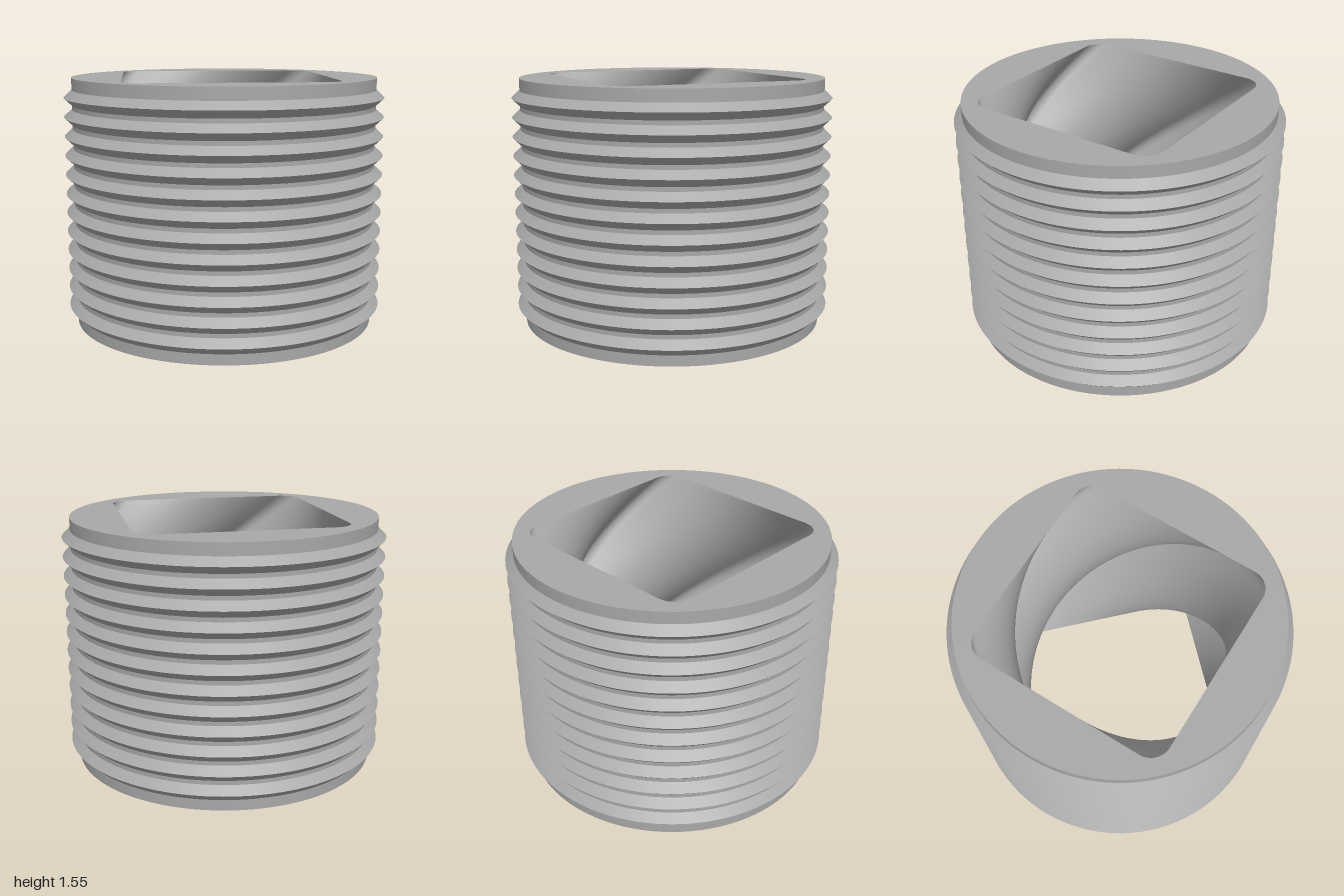
import * as THREE from 'three';
import { toCreasedNormals } from 'three/addons/utils/BufferGeometryUtils.js';

const HEIGHT = 1.55;
const BODY_RADIUS = 0.95;
const RIDGE_RADIUS = 1;
const HALF_SIDE = 0.636;  // half the width of the square bore
const FILLET = 0.12;      // rounding of the bore's corners
const TOP_ANGLE = THREE.MathUtils.degToRad(1.5);
const TWIST = THREE.MathUtils.degToRad(135);

// Rounded square with its corners on the axes, counter-clockwise, turned by an angle
function boreOutline(angle, arcSteps = 10, sideSteps = 16) {
  const points = [];
  const centre = (HALF_SIDE - FILLET) * Math.SQRT2;
  const onArc = (corner, t) => {
    const a = angle + corner * Math.PI / 2;
    const b = a + (t - 0.5) * Math.PI / 2;
    return new THREE.Vector2(
      centre * Math.cos(a) + FILLET * Math.cos(b),
      centre * Math.sin(a) + FILLET * Math.sin(b));
  };
  for (let k = 0; k < 4; k++) {
    for (let i = 0; i < arcSteps; i++) points.push(onArc(k, i / arcSteps));
    const from = onArc(k, 1), to = onArc(k + 1, 0);
    for (let i = 0; i < sideSteps; i++) points.push(from.clone().lerp(to, i / sideSteps));
  }
  return points;
}

// Ridged outer wall
function outerWall() {
  const profile = [new THREE.Vector2(BODY_RADIUS, 0)];
  for (let i = 0; i < 12; i++) {
    const y = 0.113 + i * 0.1196;
    profile.push(
      new THREE.Vector2(BODY_RADIUS, y - 0.047),
      new THREE.Vector2(RIDGE_RADIUS, y),
      new THREE.Vector2(BODY_RADIUS, y + 0.047));
  }
  profile.push(new THREE.Vector2(BODY_RADIUS, HEIGHT));
  return toCreasedNormals(new THREE.LatheGeometry(profile, 128), 0.5);
}

// Flat ring between the round edge and the square opening
function endFace(angle) {
  const shape = new THREE.Shape().absarc(0, 0, BODY_RADIUS, 0, Math.PI * 2, false);
  shape.holes.push(new THREE.Path(boreOutline(angle).reverse()));
  return new THREE.ShapeGeometry(shape, 64);
}

// Square bore twisting along its height, facing inwards
function twistedBore() {
  const count = boreOutline(0).length, levels = 72;
  const geometry = new THREE.PlaneGeometry(1, 1, count, levels);
  const position = geometry.attributes.position;
  for (let row = 0; row <= levels; row++) {
    const t = row / levels;
    const outline = boreOutline(TOP_ANGLE + TWIST * t);
    for (let col = 0; col <= count; col++) {
      const p = outline[(count - col) % count];
      position.setXYZ(row * (count + 1) + col, p.x, HEIGHT * (1 - t), -p.y);
    }
  }
  return toCreasedNormals(geometry, 0.7);
}

export function createModel() {
  const grey = new THREE.MeshStandardMaterial({ color: 0xa8a8a8 });
  grey.name = 'grey';
  const group = new THREE.Group();
  group.name = 'ridgedSleeve';
  const add = (name, geometry) => {
    const mesh = new THREE.Mesh(geometry, grey);
    mesh.name = name;
    group.add(mesh);
    return mesh;
  };

  add('ridgedWall', outerWall());
  add('twistedBore', twistedBore());

  const top = add('topFace', endFace(TOP_ANGLE));
  top.rotation.x = -Math.PI / 2;
  top.position.y = HEIGHT;

  // Seen from underneath, so its angle is mirrored
  const bottom = add('bottomFace', endFace(-(TOP_ANGLE + TWIST)));
  bottom.rotation.x = Math.PI / 2;

  return group;
}
